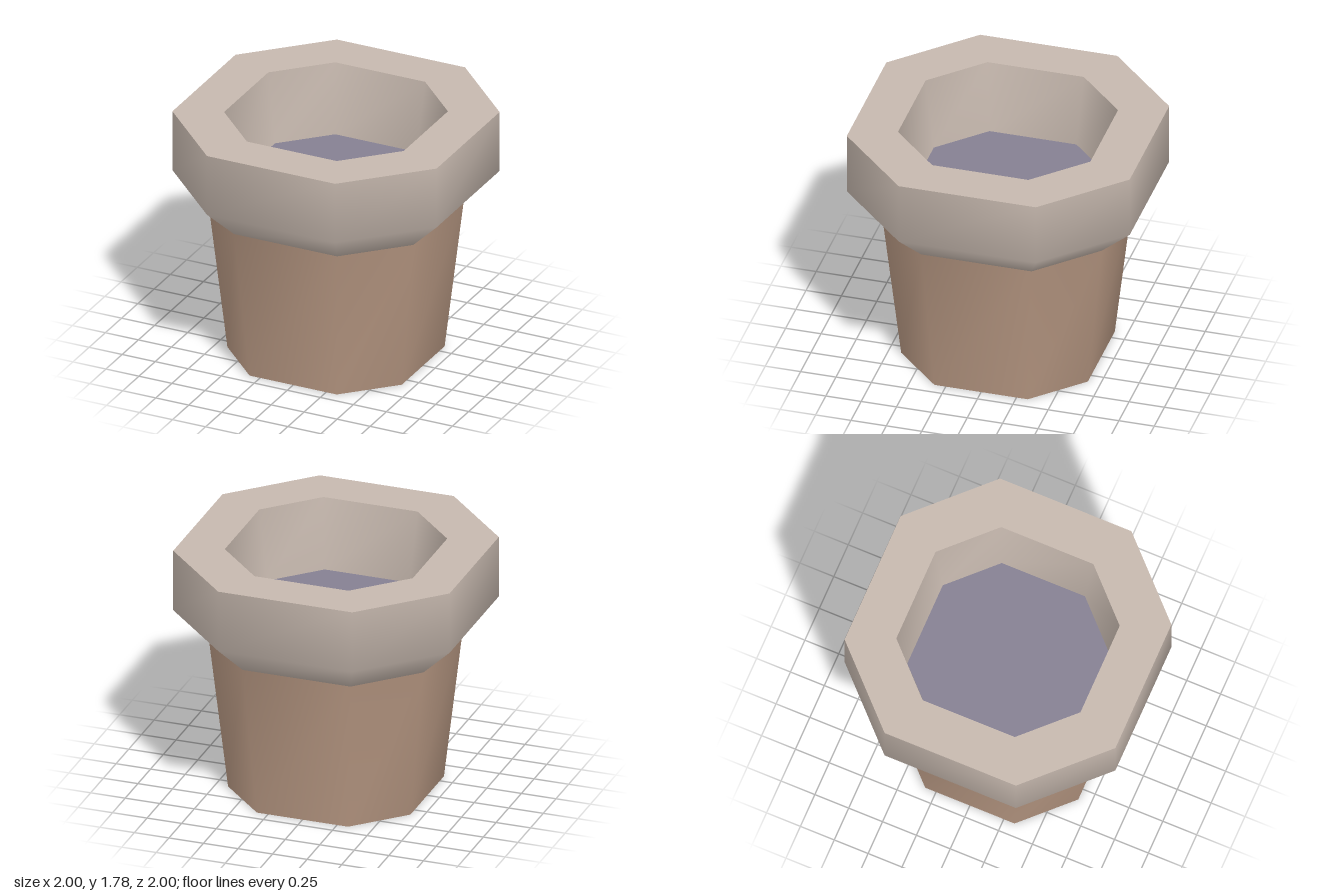
import * as THREE from 'three';

// Octagonal ring: a = distance to the straight sides, b = half length of those sides
function ring([a, b, y]) {
  return [[a, b], [a, -b], [b, -a], [-b, -a], [-a, -b], [-a, b], [-b, a], [b, a]]
    .flatMap(([x, z]) => [x, y, z]);
}

// Skin a list of octagonal rings; shared corners give smooth normals inside one skin
function loft(rings) {
  const index = [];
  for (let r = 0; r < rings.length - 1; r++) {
    for (let j = 0; j < 8; j++) {
      const k = (j + 1) % 8;
      const p = r * 8 + j, q = r * 8 + k;
      index.push(p, q, q + 8, p, q + 8, p + 8);
    }
  }
  const geo = new THREE.BufferGeometry();
  geo.setAttribute('position', new THREE.Float32BufferAttribute(rings.flatMap(ring), 3));
  geo.setIndex(index);
  geo.computeVertexNormals();
  return geo;
}

export function createModel() {
  const model = new THREE.Group();
  model.name = 'octagonalPot';

  const material = (name, color) => {
    const m = new THREE.MeshStandardMaterial({ color });
    m.name = name;
    return m;
  };
  const clay = material('brownClay', 0xb49580);
  const stone = material('paleStone', 0xc6b8ae);
  const fill = material('purpleFill', 0x858092);

  const add = (name, mat, rings) => {
    const mesh = new THREE.Mesh(loft(rings), mat);
    mesh.name = name;
    model.add(mesh);
  };

  // Rings as [a, b, y]
  const foot = [0.66, 0.33, 0];
  const neck = [0.777, 0.39, 1.11];
  const shoulder = [1, 0.485, 1.333];
  const rimOuter = [1, 0.485, 1.778];
  const rimInner = [0.68, 0.34, 1.778];
  const fillEdge = [0.613, 0.307, 1.27];

  // Tapered body
  add('base', clay, [[0, 0, 0], foot]);
  add('body', clay, [foot, neck]);

  // Heavy collar with a flat rim and a sloping inside
  add('collar', stone, [neck, shoulder, rimOuter]);
  add('rim', stone, [rimOuter, rimInner]);
  add('innerWall', stone, [rimInner, fillEdge]);

  // Flat surface inside the pot
  add('filling', fill, [fillEdge, [0, 0, 1.27]]);

  return model;
}
